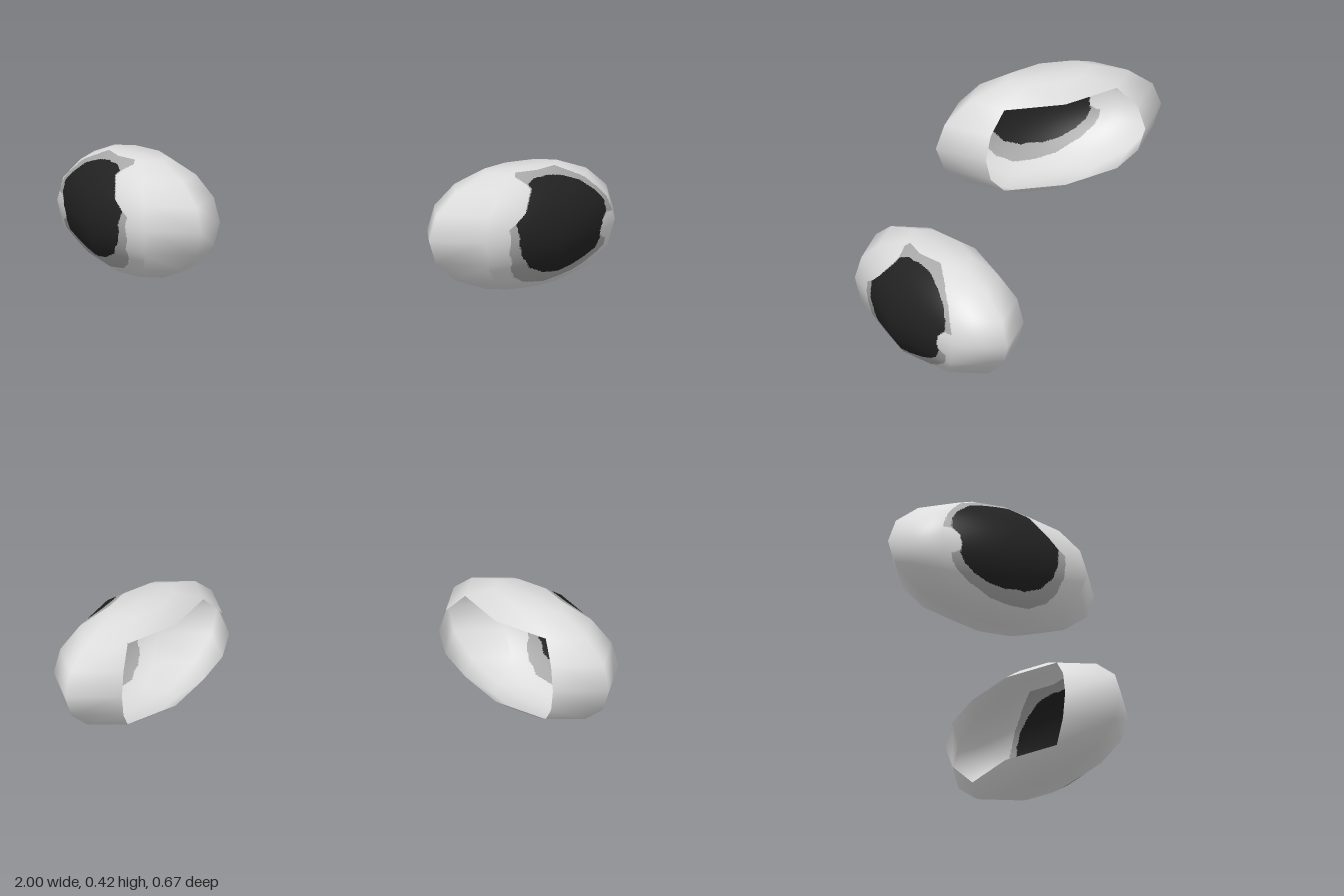
import * as THREE from 'three';

const white = new THREE.MeshStandardMaterial({ color: 0xdcdcdc, side: THREE.DoubleSide });
white.name = 'eye white';
const grey = new THREE.MeshStandardMaterial({ color: 0xa8a8a8, side: THREE.DoubleSide });
grey.name = 'iris edge grey';
const black = new THREE.MeshStandardMaterial({ color: 0x222222, side: THREE.DoubleSide });
black.name = 'pupil black';

// Painted outlines in the (z, y) plane
const pupilOutline = [
  [.243, .261], [.131, .384], [.093, .399], [.048, .402], [-.006, .393], [-.052, .368], [-.088, .326],
  [-.104, .287], [-.106, .249], [-.075, .216], [-.07, .182], [-.077, .155], [-.064, .122], [-.033, .095],
  [.012, .073], [.066, .062], [.129, .068], [.184, .095], [.223, .138], [.243, .196]];
const edgeOutline = [
  [.263, .245], [.243, .261], [.135, .384], [.127, .408], [.099, .425], [-.033, .425], [-.079, .381],
  [-.106, .335], [-.124, .29], [-.135, .243], [-.106, .243], [-.075, .216], [-.07, .182], [-.077, .163],
  [-.093, .153], [-.106, .149], [-.106, .127], [-.093, .1], [-.052, .064], [.012, .033], [.075, .023],
  [.138, .032], [.193, .057], [.234, .1], [.259, .156], [.267, .209]];

function inside(outline, a, b) {
  let hit = false;
  outline.forEach(([x1, y1], i) => {
    const [x2, y2] = outline[(i + 1) % outline.length];
    if ((y1 > b) !== (y2 > b) && a < x1 + (b - y1) / (y2 - y1) * (x2 - x1)) hit = !hit;
  });
  return hit;
}

// Ellipsoid size, centre and outward-facing direction of one eye
const LENGTH = 0.434, DEPTH = 0.217, HEIGHT = 0.2273, CX = 0.685, CY = 0.21;
const NX = 0.77, NZ = 0.638;
const STEP = Math.PI / 4, LAT = Math.PI / 8;

const turn = (u, y, n) => new THREE.Vector3(NX * n + NZ * u, y, NZ * n - NX * u);

// Corner of the coarse cage: lon in 45 degree steps, lat in 22.5 degree steps (4 = flat pole)
function corner(lon, lat) {
  const t = lon * STEP, f = lat * LAT;
  const r = Math.abs(lat) === 4 ? 0 : Math.cos(f);
  const u = r * Math.sin(t), n = r * Math.cos(t), y = Math.sin(f);
  const top = HEIGHT * Math.sin(3 * LAT);
  const p = turn(u * LENGTH, THREE.MathUtils.clamp(y * HEIGHT, -top, top), n * DEPTH);
  p.add(new THREE.Vector3(CX, CY, 0));
  return { p, n: turn(u / LENGTH, y / HEIGHT, n / DEPTH).normalize() };
}

function createEye(side) {
  const parts = [
    { name: 'eyeWhite', material: white, pos: [], nor: [] },
    { name: 'irisEdge', material: grey, pos: [], nor: [] },
    { name: 'pupil', material: black, pos: [], nor: [] }];

  const addTriangle = (tri, painted) => {
    const z = (tri[0].p.z + tri[1].p.z + tri[2].p.z) / 3;
    const y = (tri[0].p.y + tri[1].p.y + tri[2].p.y) / 3;
    const k = !painted ? 0 : inside(pupilOutline, z, y) ? 2 : inside(edgeOutline, z, y) ? 1 : 0;
    for (const v of side > 0 ? tri : [tri[0], tri[2], tri[1]]) {
      parts[k].pos.push(side * v.p.x, v.p.y, v.p.z);
      parts[k].nor.push(side * v.n.x, v.n.y, v.n.z);
    }
  };

  for (let lon = -4; lon < 4; lon++) {
    for (let lat = -4; lat < 4; lat++) {
      // Opening at the back
      if ((lon < -3 || lon > 2) && lat >= -2 && lat < 2) continue;
      const cap = lat === -4 || lat === 3;
      const painted = lon >= -1 && lon < 2 && !cap;
      const c = [corner(lon, lat), corner(lon + 1, lat), corner(lon, lat + 1), corner(lon + 1, lat + 1)];
      if (cap) {
        addTriangle(lat === 3 ? [c[0], c[1], c[2]] : [c[0], c[3], c[2]], false);
        continue;
      }
      // Painted cells are divided finely so the paint gets clean borders
      const cols = painted ? 44 : 1, rows = painted ? 20 : 1;
      const mix = (key, s, t) => c[0][key].clone().lerp(c[1][key], s)
        .lerp(c[2][key].clone().lerp(c[3][key], s), t);
      const at = (i, j) => ({ p: mix('p', i / cols, j / rows), n: mix('n', i / cols, j / rows).normalize() });
      for (let i = 0; i < cols; i++) {
        for (let j = 0; j < rows; j++) {
          const a = at(i, j), b = at(i + 1, j), d = at(i, j + 1), e = at(i + 1, j + 1);
          addTriangle([a, b, e], painted);
          addTriangle([a, e, d], painted);
        }
      }
    }
  }

  const eye = new THREE.Group();
  eye.name = side > 0 ? 'leftEye' : 'rightEye';
  for (const { name, material, pos, nor } of parts) {
    const geometry = new THREE.BufferGeometry();
    geometry.setAttribute('position', new THREE.Float32BufferAttribute(pos, 3));
    geometry.setAttribute('normal', new THREE.Float32BufferAttribute(nor, 3));
    const mesh = new THREE.Mesh(geometry, material);
    mesh.name = name;
    eye.add(mesh);
  }
  return eye;
}

export function createModel() {
  const model = new THREE.Group();
  model.name = 'eyes';
  model.add(createEye(1), createEye(-1));
  return model;
}
